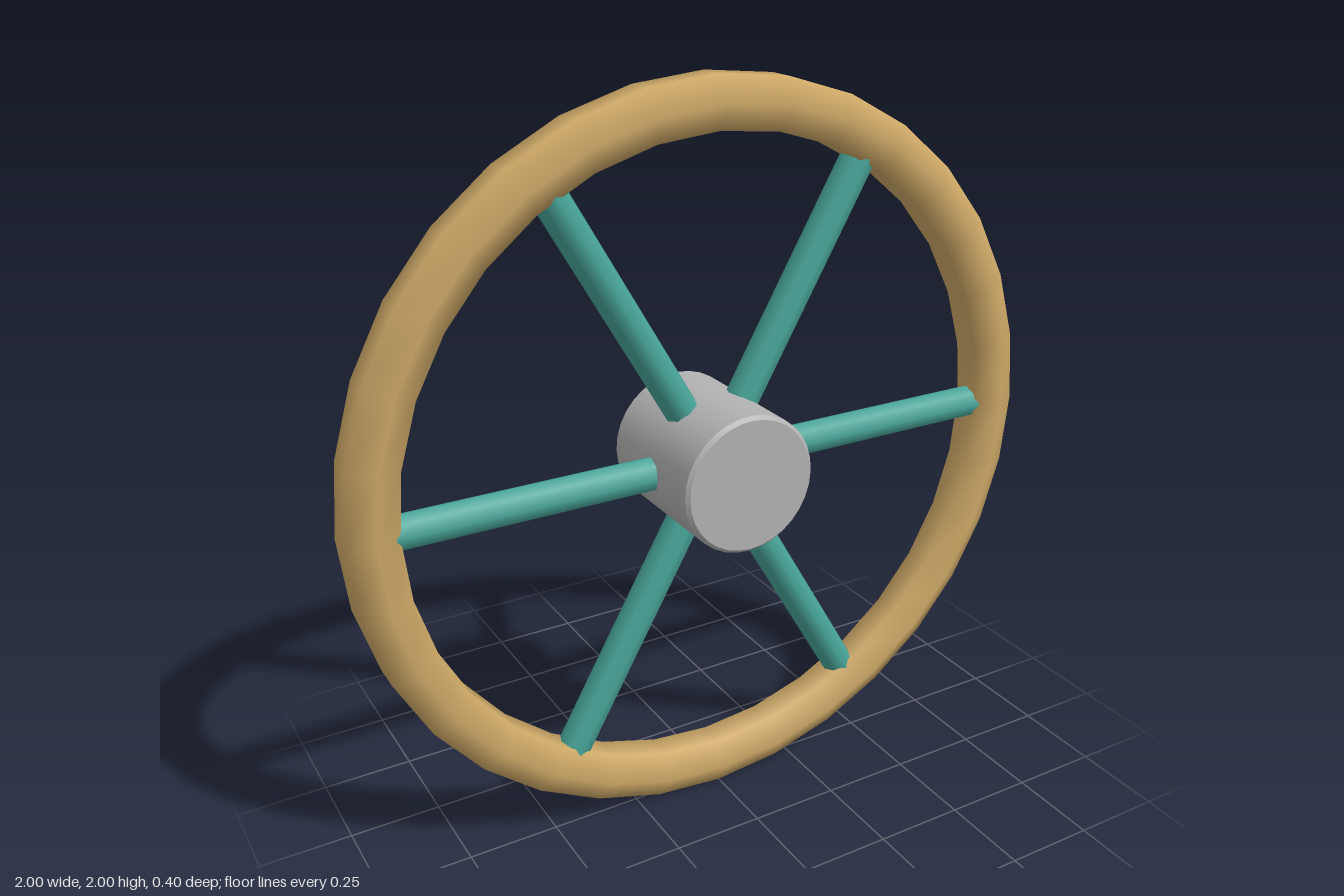
import * as THREE from 'three';
import { mergeVertices, toCreasedNormals } from 'three/addons/utils/BufferGeometryUtils.js';

const material = (name, color) => {
  const m = new THREE.MeshStandardMaterial({ color });
  m.name = name;
  return m;
};

export function createModel() {
  const wood = material('tan wood', 0xcca766);
  const teal = material('teal paint', 0x48a599);
  const metal = material('grey metal', 0xb2b2b2);

  const wheel = new THREE.Group();
  wheel.name = 'wheel';
  wheel.position.y = 1;

  const add = (name, geometry, mat) => {
    const mesh = new THREE.Mesh(geometry, mat);
    mesh.name = name;
    wheel.add(mesh);
    return mesh;
  };

  // Rim: six-sided section swept round the axle, smooth shaded
  const section = [];
  for (let i = 0; i <= 6; i++) {
    const a = (i * Math.PI) / 3 + Math.PI / 6;
    section.push(new THREE.Vector2(0.933 + 0.077 * Math.cos(a), 0.077 * Math.sin(a)));
  }
  let rim = new THREE.LatheGeometry(section, 32);
  rim.deleteAttribute('uv');
  rim.deleteAttribute('normal');
  rim = mergeVertices(rim, 1e-4);
  rim.computeVertexNormals();
  rim.rotateX(Math.PI / 2);
  add('rim', rim, wood);

  // Hub: drum with slightly bevelled ends
  const profile = [[0, -0.198], [0.178, -0.198], [0.188, -0.188], [0.188, 0.188], [0.178, 0.198], [0, 0.198]]
    .map(([x, y]) => new THREE.Vector2(x, y));
  const hub = toCreasedNormals(new THREE.LatheGeometry(profile, 32), 0.5);
  hub.rotateX(Math.PI / 2);
  add('hub', hub, metal);

  // Spokes: from inside the hub to the middle of the rim
  const spoke = new THREE.CylinderGeometry(0.046, 0.046, 0.8, 8);
  spoke.translate(0, 0.5, 0);
  for (let i = 0; i < 6; i++) {
    add('spoke', spoke, teal).rotation.z = Math.PI / 2 + (i * Math.PI) / 3;
  }

  const model = new THREE.Group();
  model.name = 'spokedWheel';
  model.add(wheel);
  return model;
}
